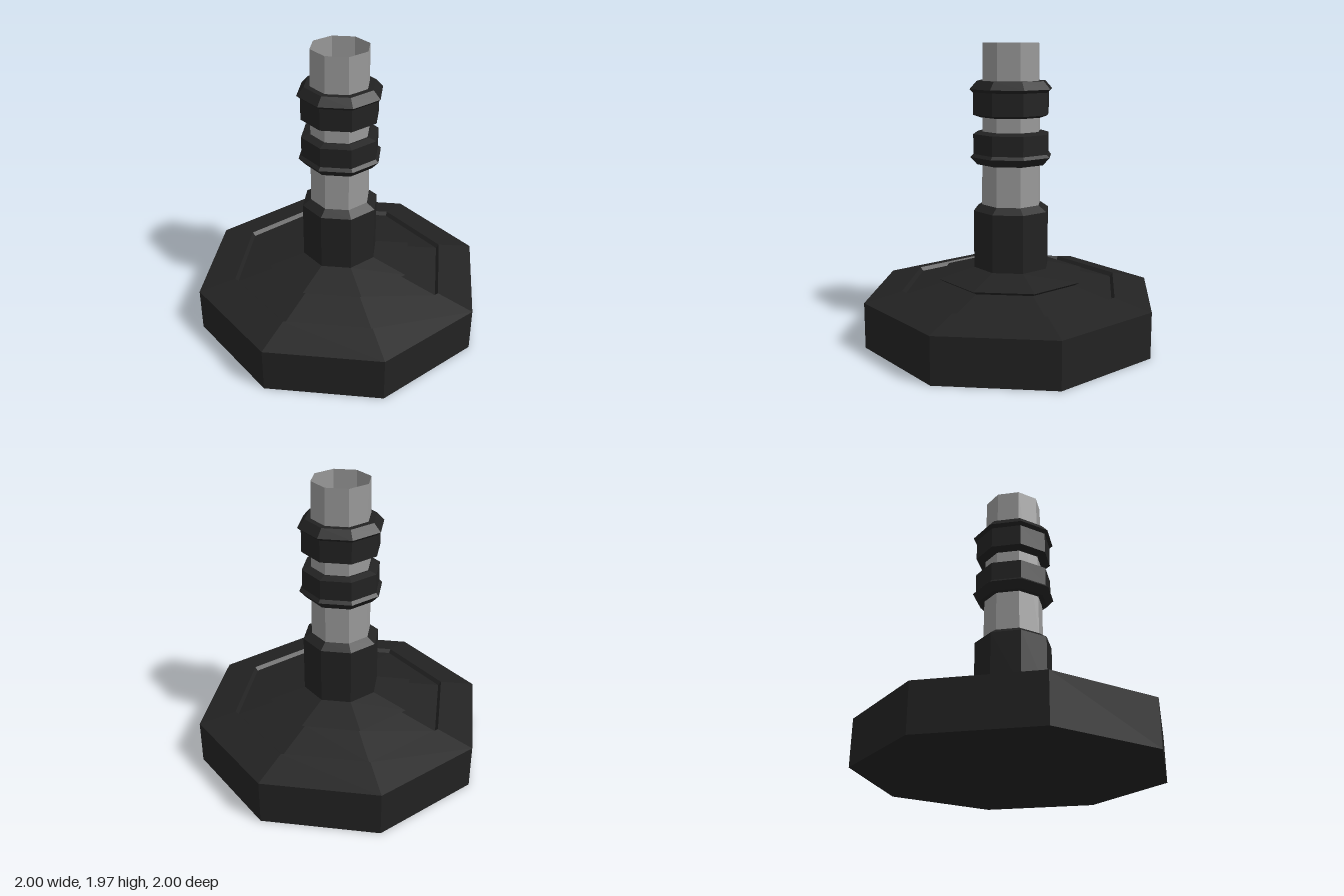
import * as THREE from 'three';

const SIDES = 8;

// Octagonal turned part from [radius, height] pairs, listed bottom to top
function turned(name, profile, material) {
  const points = profile.map(([r, y]) => new THREE.Vector2(r, y));
  const mesh = new THREE.Mesh(new THREE.LatheGeometry(points, SIDES), material);
  mesh.name = name;
  return mesh;
}

export function createModel() {
  const black = new THREE.MeshStandardMaterial({ color: 0x222222, flatShading: true });
  black.name = 'blackPlastic';
  const steel = new THREE.MeshStandardMaterial({ color: 0x999999, flatShading: true, side: THREE.DoubleSide });
  steel.name = 'greySteel';

  const model = new THREE.Group();
  model.name = 'pedestal';

  // Heavy foot with a bevelled rim and a shallow recess
  model.add(turned('base', [
    [0, 0], [1, 0], [1, 0.305], [0.75, 0.365], [0.73, 0.34], [0.47, 0.405], [0, 0.405],
  ], black));

  // Flared skirt with an undercut edge
  model.add(turned('skirt', [
    [0.46, 0.4], [0.505, 0.428], [0.26, 0.49],
  ], black));

  // Sleeve that holds the pipe
  model.add(turned('sleeve', [
    [0.26, 0.485], [0.26, 0.875], [0.2, 0.917], [0, 0.917],
  ], black));

  // Open, slightly tapered pipe
  model.add(turned('pipe', [[0.203, 0.9], [0.193, 1.97]], steel));

  // Two collars, lips facing away from each other
  model.add(turned('lowerCollar', [
    [0.19, 1.185], [0.235, 1.185], [0.28, 1.235], [0.26, 1.255], [0.26, 1.385], [0.21, 1.4], [0.19, 1.4],
  ], black));
  model.add(turned('upperCollar', [
    [0.19, 1.493], [0.21, 1.493], [0.26, 1.51], [0.26, 1.655], [0.283, 1.675], [0.235, 1.728], [0.19, 1.728],
  ], black));

  return model;
}
